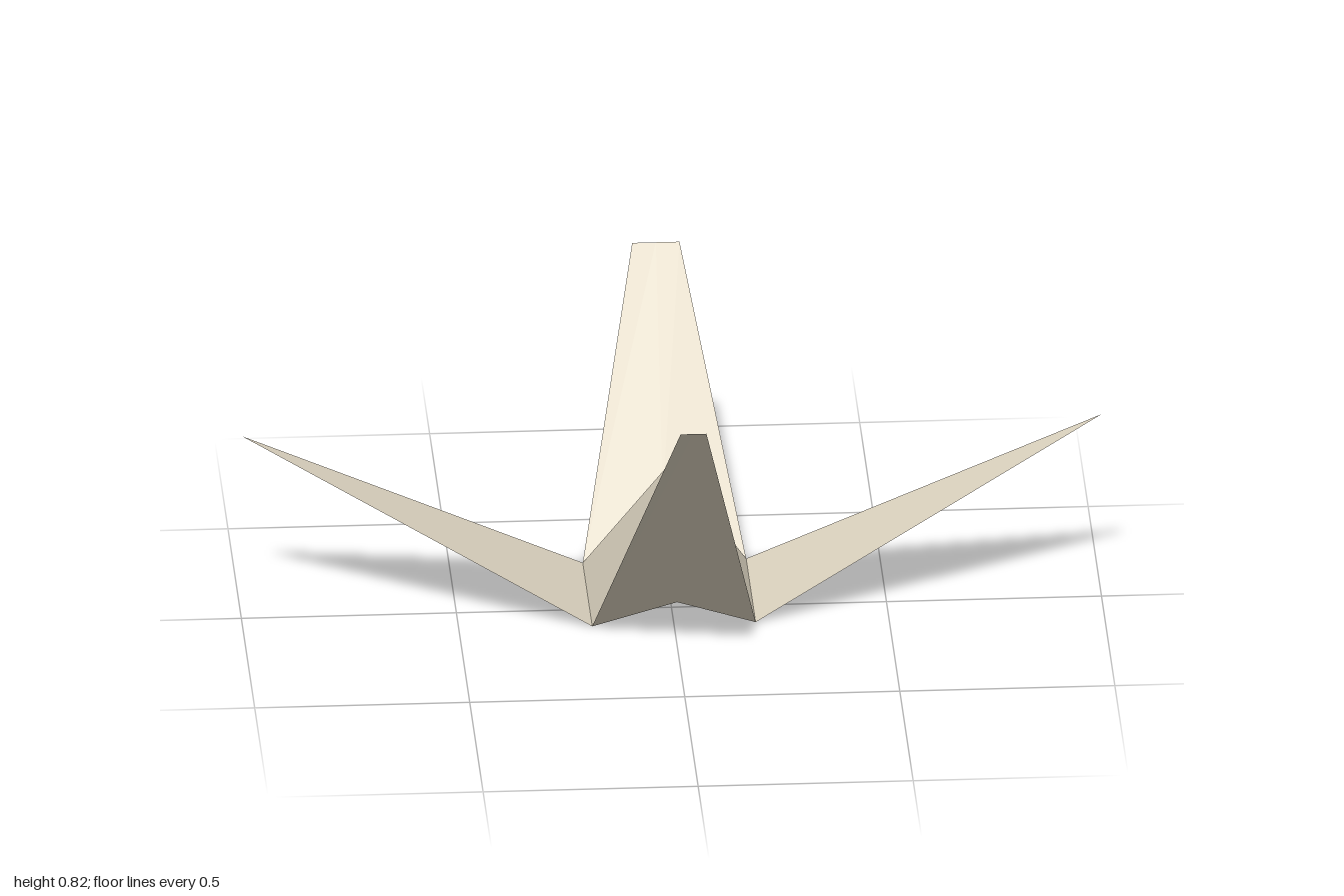
import * as THREE from 'three';

// Folded paper bird: flat sheets sharing the corners of an open, six-sided body.
export function createModel() {
  const paper = new THREE.MeshStandardMaterial({ color: 0xe2d9c5, side: THREE.DoubleSide });
  paper.name = 'cream paper';
  const model = new THREE.Group();
  model.name = 'paperBird';

  // One flat-shaded sheet from a list of triangles
  const sheet = (name, triangles) => {
    const geometry = new THREE.BufferGeometry();
    geometry.setAttribute('position', new THREE.Float32BufferAttribute(triangles.flat(2), 3));
    geometry.computeVertexNormals();
    const mesh = new THREE.Mesh(geometry, paper);
    mesh.name = name;
    model.add(mesh);
  };

  const apex = [0, 0.345, -0.05];
  const frontMid = [0, 0.11, 0.212];
  const backMid = [0, 0.145, -0.325];
  const front = (s) => [s * 0.19, 0, 0.095];
  const back = (s) => [s * 0.19, 0, -0.26];

  // Body: pyramid over the six corners, open underneath
  const rim = [frontMid, front(1), back(1), backMid, back(-1), front(-1)];
  sheet('body', rim.map((p, i) => [apex, p, rim[(i + 1) % 6]]));

  // Wings
  for (const s of [1, -1]) {
    const tip = [s, 0.475, 0.022];
    sheet(s > 0 ? 'leftWing' : 'rightWing', [s > 0 ? [front(s), tip, back(s)] : [back(s), tip, front(s)]]);
  }

  // Tapering strip with a notched base and a fold down its middle
  const spike = (name, a, mid, b, halfWidth, y, z) => {
    const l = [-halfWidth, y, z], c = [0, y, z], r = [halfWidth, y, z];
    sheet(name, [[a, mid, c], [a, c, l], [mid, b, r], [mid, r, c]]);
  };
  spike('frontSpike', front(-1), frontMid, front(1), 0.03, 0.82, 0.827);
  spike('neck', back(-1), backMid, back(1), 0.055, 0.665, -0.583);

  // Head: the folded-down end of the neck
  const [a, b, c, d] = [[-0.055, 0.665, -0.583], [0.055, 0.665, -0.583], [0.03, 0.44, -0.827], [-0.03, 0.44, -0.827]];
  sheet('head', [[a, b, c], [a, c, d]]);

  return model;
}
